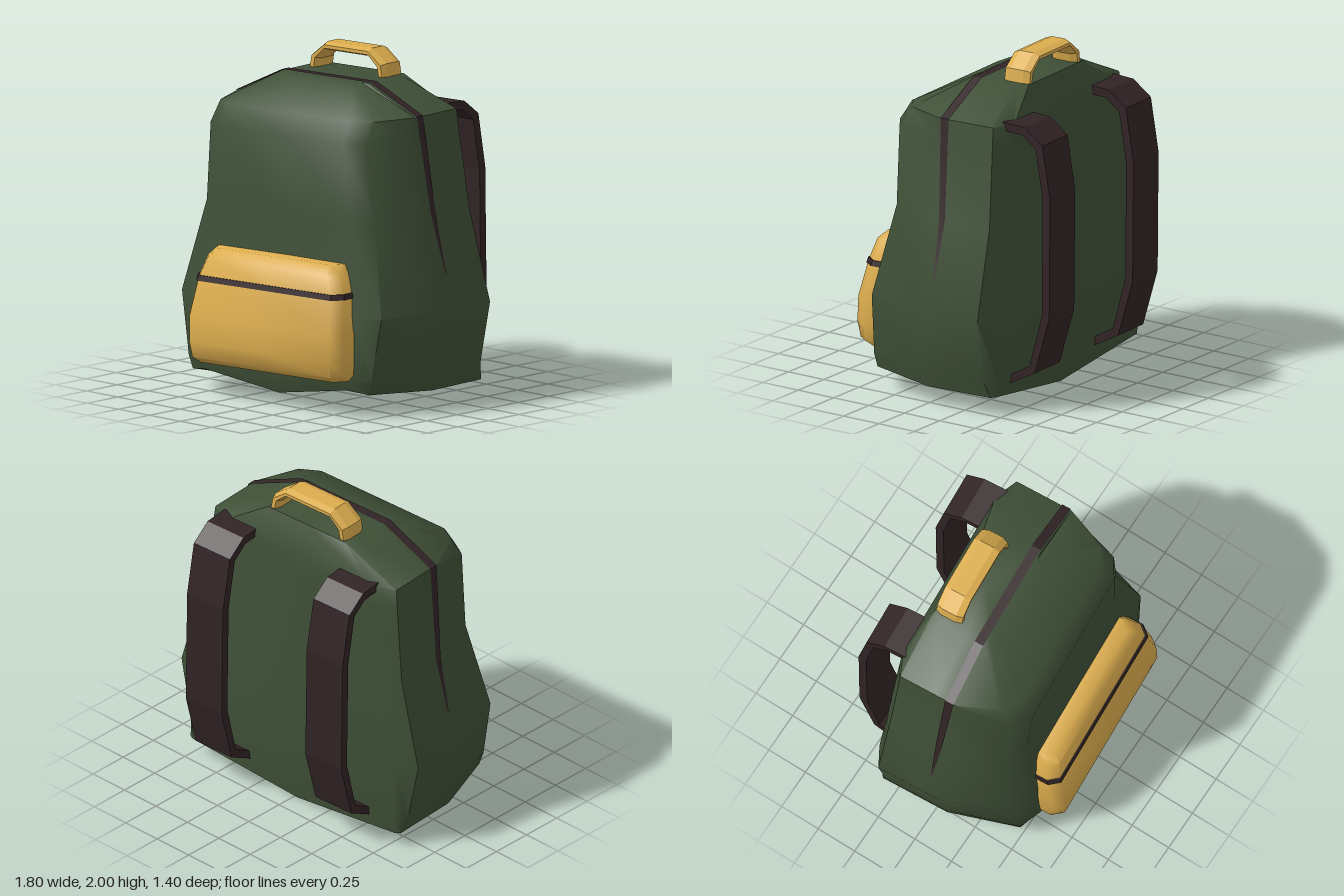
import * as THREE from 'three';
import { toCreasedNormals } from 'three/addons/utils/BufferGeometryUtils.js';

const material = (name, color) => {
  const m = new THREE.MeshStandardMaterial({ color });
  m.name = name;
  return m;
};

// Skins mirrored half-rings (back centre -> left side -> front centre), listed bottom to top
function loft(halfRings, bottom, top, crease) {
  const rings = halfRings.map((h) => [
    ...h, ...h.slice(1, -1).reverse().map(([x, y, z]) => [-x, y, z]),
  ]);
  const n = rings[0].length, pos = rings.flat(2), index = [];
  for (let i = 0; i < rings.length - 1; i++) {
    for (let j = 0; j < n; j++) {
      const k = (j + 1) % n, a = i * n + j, b = i * n + k;
      index.push(a, b + n, b, a, a + n, b + n);
    }
  }
  const last = (rings.length - 1) * n, c = rings.length * n;
  pos.push(...bottom, ...top);
  for (let j = 0; j < n; j++) {
    const k = (j + 1) % n;
    index.push(c, j, k, c + 1, last + k, last + j);
  }
  const g = new THREE.BufferGeometry();
  g.setAttribute('position', new THREE.Float32BufferAttribute(pos, 3));
  g.setIndex(index);
  return toCreasedNormals(g, crease);
}

const polygon = (pts) => new THREE.Shape(pts.map(([x, y]) => new THREE.Vector2(x, y)));

export function createModel() {
  const green = material('green canvas', 0x3f5037);
  const yellow = material('yellow canvas', 0xdcad4e);
  const dark = material('dark webbing', 0x322426);
  const trim = material('zip trim', 0x322426);
  trim.side = THREE.DoubleSide;

  const model = new THREE.Group();
  model.name = 'backpack';
  const add = (name, geometry, mat) => {
    const mesh = new THREE.Mesh(geometry, mat);
    mesh.name = name;
    model.add(mesh);
    return mesh;
  };

  // Main body: y, half width, back corner x, back z, front z, front corner inset
  const bodyRings = [
    [0.10, 0.79, 0.76, -0.41, 0.50, 0.05],
    [0.20, 0.815, 0.76, -0.415, 0.52, 0.06],
    [0.57, 0.89, 0.77, -0.42, 0.50, 0.06],
    [1.10, 0.75, 0.64, -0.41, 0.41, 0.06],
    [1.56, 0.694, 0.57, -0.39, 0.435, 0.07],
    [1.68, 0.68, 0.54, -0.385, 0.36, 0.07],
    [1.84, 0.33, 0.29, -0.32, 0.045, 0.004],
  ].map(([y, w, xb, zb, zf, inset], i) => [
    [0, y, zb], [xb, y, zb], [w, y, zb + (i === 0 ? 0.02 : 0.06)],
    [w, y, -0.09], [w, y, 0.035],
    [w * 0.85, y, zf - inset], [w * 0.68, y, zf], [0, y, zf],
  ]);
  // The base drops to a shallow keel in the middle and lifts at the front corners
  bodyRings[0][0] = [0, 0, -0.37];
  bodyRings[0][5][1] = 0.12;
  bodyRings[0][6][1] = 0.14;
  bodyRings[0][7] = [0, 0.06, 0.47];
  add('body', loft(bodyRings, [0, 0.003, -0.05], [0, 1.842, -0.14], 0.9), green);

  // Zip running over the top and tapering down both sides: x, y, z, half width
  const zipHalf = [
    [0.835, 0.77, -0.035, 0.004], [0.75, 1.10, -0.03, 0.02],
    [0.68, 1.68, 0, 0.027], [0.33, 1.84, 0, 0.028],
  ];
  const zipPath = [...zipHalf, ...zipHalf.map(([x, ...r]) => [-x, ...r]).reverse()];
  const zipPos = zipPath.flatMap(([x, y, z, h]) => {
    const px = x + Math.sign(x) * 0.005, py = y + 0.005;
    return [px, py, z - h, px, py, z + h];
  });
  const zipIndex = [];
  for (let i = 0; i < zipPath.length - 1; i++) {
    const a = i * 2;
    zipIndex.push(a, a + 1, a + 3, a, a + 3, a + 2);
  }
  const zip = new THREE.BufferGeometry();
  zip.setAttribute('position', new THREE.Float32BufferAttribute(zipPos, 3));
  zip.setIndex(zipIndex);
  add('mainZip', toCreasedNormals(zip, 0.3), trim);

  // Front pocket: y, half width, front z
  const pocketRing = ([y, w, zf]) => [
    [0, y, 0.37], [w - 0.04, y, 0.37], [w, y, 0.42],
    [w, y, zf - 0.06], [w - 0.05, y, zf], [0, y, zf],
  ];
  const pocketRows = [
    [0.20, 0.55, 0.60], [0.235, 0.575, 0.645], [0.33, 0.58, 0.665],
    [0.48, 0.58, 0.66], [0.70, 0.55, 0.61], [0.82, 0.505, 0.58], [0.867, 0.475, 0.53],
  ];
  add('pocket', loft(pocketRows.map(pocketRing), [0, 0.20, 0.48], [0, 0.87, 0.45], 0.9),
    yellow).position.x = 0.02;

  // Thin zip band around the pocket
  const bandRows = [[0.68, 0.559, 0.6205], [0.712, 0.552, 0.613]];
  add('pocketZip', loft(bandRows.map(pocketRing), [0, 0.68, 0.48], [0, 0.712, 0.48], 0.5),
    dark).position.x = 0.02;

  // Carry handle: bevelled arch
  const arch = [[0.29, 1.82], [0.275, 1.915], [0.17, 1.995]];
  const archInner = [[0.16, 1.945], [0.222, 1.89], [0.235, 1.82]];
  const mirrorX = (pts) => pts.map(([x, y]) => [-x, y]).reverse();
  const handle = new THREE.ExtrudeGeometry(
    polygon([...arch, ...mirrorX(arch), ...mirrorX(archInner), ...archInner]),
    { depth: 0.09, bevelThickness: 0.04, bevelSize: 0.015, bevelOffset: -0.015, bevelSegments: 1 },
  );
  handle.translate(0, 0, -0.275);
  add('handle', handle, yellow);

  // Shoulder straps: side profile (distance behind, height) extruded across
  const strapProfile = [
    [0.34, 1.70], [0.49, 1.69], [0.61, 1.60], [0.665, 1.28], [0.665, 0.57], [0.57, 0.23], [0.38, 0.13],
    [0.38, 0.18], [0.535, 0.27], [0.615, 0.58], [0.615, 1.27], [0.565, 1.57], [0.475, 1.64], [0.34, 1.65],
  ];
  const strap = new THREE.ExtrudeGeometry(polygon(strapProfile), { depth: 0.27, bevelEnabled: false });
  strap.translate(0, 0, -0.135);
  strap.rotateY(Math.PI / 2);
  for (const [name, side] of [['leftStrap', 1], ['rightStrap', -1]]) {
    add(name, strap, dark).position.x = side * 0.45 + 0.015;
  }

  // The whole bag rests slightly turned and tilted
  model.rotation.set(0, 0.062, 0.014);
  const root = new THREE.Group();
  root.name = 'backpackRoot';
  root.add(model);
  return root;
}
